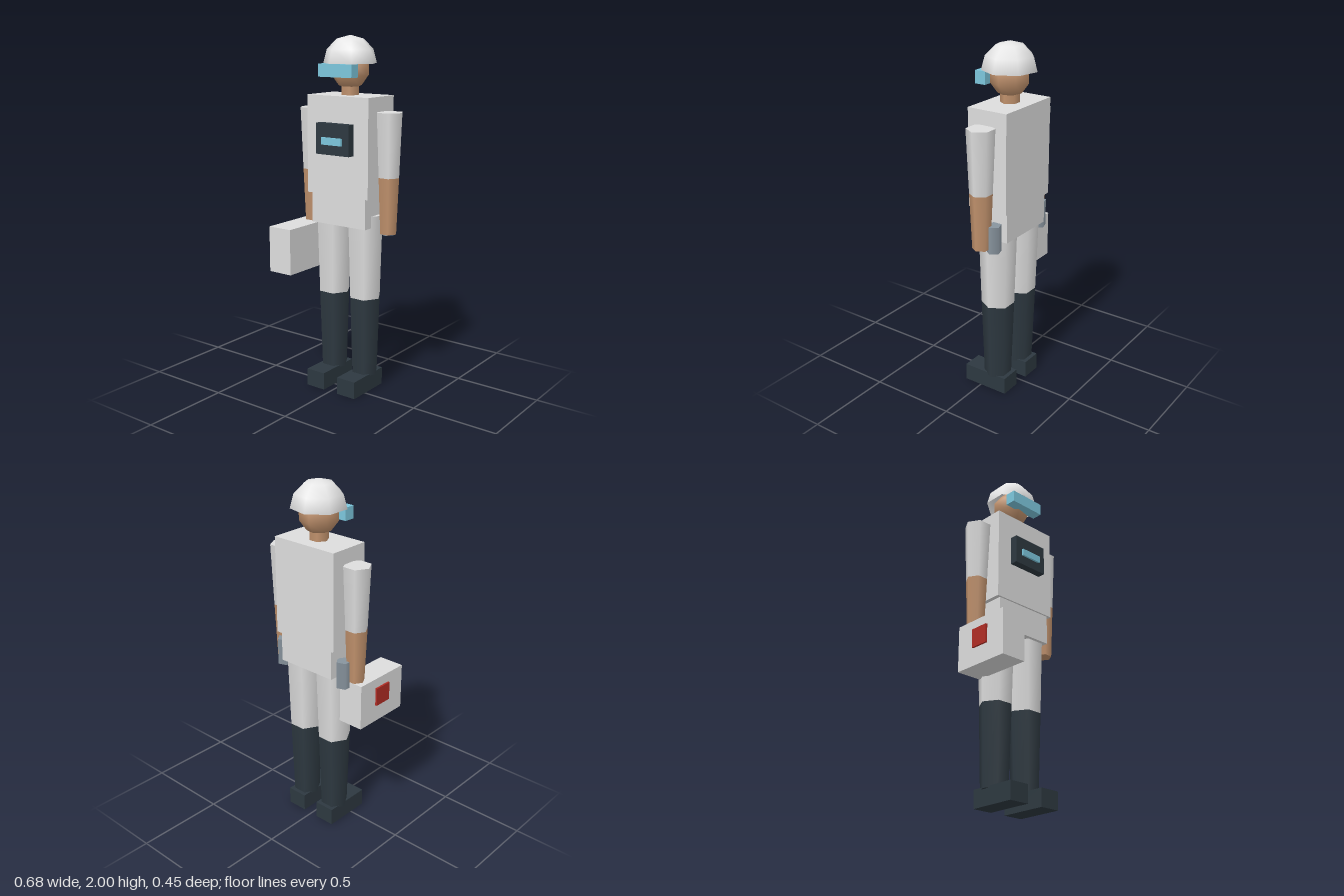
import * as THREE from 'three';

const mat = (name, color) => {
  const m = new THREE.MeshStandardMaterial({ color });
  m.name = name;
  return m;
};

export function createModel() {
  const suit = mat('suit light grey', 0xdcdcdc);
  const dark = mat('dark slate', 0x2d3840);
  const skin = mat('skin', 0xc0916c);
  const glass = mat('pale blue', 0x7cc6dc);
  const steel = mat('steel grey', 0x88949e);
  const red = mat('red', 0xb02c24);
  const helmetMat = mat('helmet white', 0xe6e6e6);
  helmetMat.side = THREE.DoubleSide;

  const model = new THREE.Group();
  model.name = 'worker';
  const CX = 0.005, CZ = -0.08; // body axis

  const add = (name, geometry, material, x, y, z) => {
    const mesh = new THREE.Mesh(geometry, material);
    mesh.name = name;
    mesh.position.set(x, y, z);
    model.add(mesh);
    return mesh;
  };

  // box given by its limits on each axis
  const box = (name, material, x0, x1, y0, y1, z0, z1) =>
    add(name, new THREE.BoxGeometry(x1 - x0, y1 - y0, z1 - z0), material,
      (x0 + x1) / 2, (y0 + y1) / 2, (z0 + z1) / 2);

  // upright tapered prism with a corner pointing to +x
  const limb = (name, material, x, z, y0, y1, rBottom, rTop, sides = 6) =>
    add(name, new THREE.CylinderGeometry(rTop, rBottom, y1 - y0, sides, 1, false, Math.PI / 2),
      material, x, (y0 + y1) / 2, z);

  // head, neck and headgear
  add('head', new THREE.SphereGeometry(0.11, 7, 5, Math.PI), skin, CX, 1.82, CZ);
  limb('neck', skin, CX, CZ, 1.65, 1.76, 0.052, 0.052);
  add('helmet', new THREE.SphereGeometry(0.15, 7, 3, Math.PI, Math.PI * 2, 0, Math.PI / 2),
    helmetMat, CX, 1.85, CZ);
  box('visor', glass, CX - 0.11, CX + 0.11, 1.78, 1.85, 0, 0.062);

  // trunk
  box('torso', suit, CX - 0.205, CX + 0.205, 1.135, 1.68, -0.2, 0.04);
  box('pelvis', suit, CX - 0.182, CX + 0.182, 0.965, 1.14, -0.19, 0.03);
  box('chestPanel', dark, CX - 0.11, CX + 0.11, 1.365, 1.535, 0.04, 0.084);
  box('chestDisplay', glass, CX - 0.066, CX + 0.066, 1.42, 1.46, 0.08, 0.095);

  // limbs and hip canisters, mirrored
  for (const [side, s] of [['left', 1], ['right', -1]]) {
    const armX = CX + s * 0.26, legX = CX + s * 0.108;
    limb(side + 'Sleeve', suit, armX, CZ, 1.25, 1.6, 0.062, 0.076);
    limb(side + 'Forearm', skin, armX, CZ, 0.938, 1.25, 0.049, 0.062);
    limb(side + 'Thigh', suit, legX, CZ, 0.55, 1.03, 0.092, 0.106);
    limb(side + 'BootShaft', dark, legX, CZ, 0.09, 0.55, 0.077, 0.092);
    box(side + 'Shoe', dark, legX - 0.06, legX + 0.06, 0, 0.1, -0.17, 0.105);
    limb(side + 'HipCanister', steel, CX + s * 0.2185, -0.132, 0.917, 1.07, 0.043, 0.043, 5);
  }

  // carried case with a red plate on its outer side
  box('case', suit, -0.331, -0.181, 0.69, 0.95, -0.124, 0.225);
  box('casePlate', red, -0.342, -0.33, 0.79, 0.895, -0.003, 0.104);

  return model;
}
